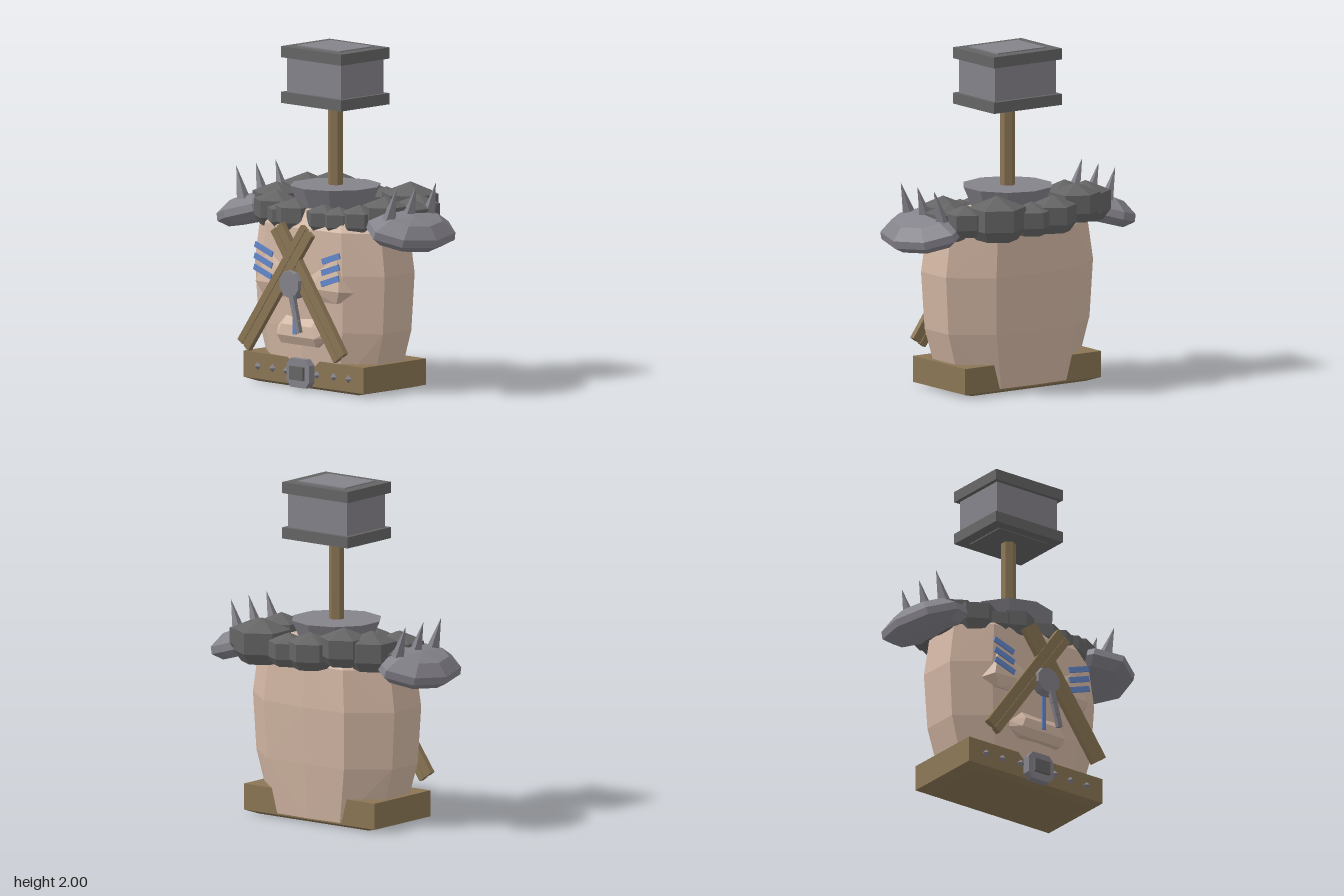
import * as THREE from 'three';
import { ConvexGeometry } from 'three/addons/geometries/ConvexGeometry.js';

const material = (name, color) => {
  const m = new THREE.MeshStandardMaterial({ color, flatShading: true });
  m.name = name;
  return m;
};

export function createModel() {
  const model = new THREE.Group();
  model.name = 'stoneCollaredTorso';
  const skin = material('skin', 0xd2b6a3);
  const wood = material('wood', 0x8b7655);
  const metal = material('metal', 0x85838b);
  const stone = material('dark stone', 0x666565);
  const blue = material('blue paint', 0x6488cc);

  const add = (name, geometry, mat, x = 0, y = 0, z = 0, parent = model) => {
    const mesh = new THREE.Mesh(geometry, mat);
    mesh.name = name;
    mesh.position.set(x, y, z);
    parent.add(mesh);
    return mesh;
  };
  const box = (w, h, d) => new THREE.BoxGeometry(w, h, d);
  const hull = (points) => new ConvexGeometry(points.map((p) => new THREE.Vector3(...p)));
  const lathe = (points, sides) =>
    new THREE.LatheGeometry(points.map(([r, y]) => new THREE.Vector2(r, y)), sides);
  const bothSides = (points) => points.concat(points.map(([x, y, z]) => [-x, y, z]));

  // Barrel-shaped torso: one outline scaled at several heights
  const outline = [[0, 0.315], [0.33, 0.285], [0.53, 0.135], [0.53, -0.115], [0.3, -0.3], [0, -0.31]];
  const rings = [[0.03, 0.78, 0.85], [0.36, 0.96, 0.95], [0.7, 1, 1], [0.95, 0.93, 0.95], [1.06, 0.75, 0.75]];
  const torso = rings.flatMap(([y, sx, sz]) => outline.map(([x, z]) => [x * sx, y, 0.03 + z * sz]));
  add('torso', hull(bothSides(torso)), skin);

  // Chest muscles and belly fold
  for (const s of [1, -1]) {
    add('chestMuscle', hull([
      [0.1, 0.73, 0.32], [0.28, 0.81, 0.31], [0.38, 0.6, 0.27], [0.34, 0.61, 0.355],
      [0.1, 0.61, 0.365], [0.3, 0.535, 0.335], [0.34, 0.55, 0.27], [0.1, 0.535, 0.33], [0.1, 0.6, 0.28],
    ].map(([x, y, z]) => [x * s, y, z])), skin);
  }
  add('bellyFold', hull(bothSides([
    [0.12, 0.43, 0.32], [0.21, 0.36, 0.3], [0.21, 0.32, 0.3], [0.14, 0.26, 0.3],
    [0.14, 0.265, 0.345], [0.15, 0.315, 0.37], [0.12, 0.38, 0.36],
  ])), skin);

  // Wide wooden belt with a bevelled underside, buckle and studs
  add('belt', hull(bothSides([
    [0.49, 0.175, 0.3], [0.49, 0.175, -0.22], [0.49, 0.02, 0.3], [0.49, 0.02, -0.22],
    [0.41, 0, 0.26], [0.41, 0, -0.18],
  ])), wood);
  const plate = new THREE.Shape([[-0.09, 0.05], [-0.09, -0.05], [-0.06, -0.085], [0.06, -0.085],
    [0.09, -0.05], [0.09, 0.05], [0.06, 0.085], [-0.06, 0.085]].map((p) => new THREE.Vector2(...p)));
  add('bucklePlate', new THREE.ExtrudeGeometry(plate, { depth: 0.05, bevelEnabled: false }), metal, 0, 0.097, 0.3);
  add('buckleCentre', box(0.11, 0.08, 0.03), stone, 0, 0.097, 0.352);
  for (const x of [0.125, 0.25, 0.37]) {
    for (const s of [1, -1]) add('beltStud', new THREE.OctahedronGeometry(0.025), metal, s * x, 0.097, x < 0.2 ? 0.318 : 0.305);
  }

  // Crossed planks with a groove down the middle
  for (const s of [1, -1]) {
    const plank = new THREE.Group();
    plank.name = 'crossedPlank';
    plank.position.set(s * -0.133, 0.593, 0.391 + s * 0.002);
    plank.rotation.z = s * -0.618;
    model.add(plank);
    for (const e of [1, -1]) add('plankSlat', box(0.044, 0.89, 0.034), wood, e * 0.031, 0, 0, plank);
    add('plankGroove', box(0.02, 0.885, 0.022), wood, 0, 0, 0, plank);
  }

  // Disc where the planks cross, with a hanging strap
  add('crossDisc', new THREE.CylinderGeometry(0.08, 0.095, 0.05, 10), metal, 0, 0.63, 0.4).rotation.x = Math.PI / 2;
  const strap = new THREE.Group();
  strap.name = 'hangingStrap';
  strap.position.set(0.022, 0.57, 0.42);
  strap.rotation.z = 0.26;
  model.add(strap);
  for (let i = 0; i < 3; i++) add('strapLink', box(0.036 - i * 0.002, 0.074, 0.026), metal, 0, -0.038 - i * 0.076, 0, strap);

  // Painted stripes
  add('centreStripe', box(0.028, 0.22, 0.009), blue, 0, 0.44, 0.375);
  for (const s of [1, -1]) {
    for (let i = 0; i < 3; i++) {
      const stripe = add('chestStripe', box(0.15, 0.034, 0.009), blue, s * 0.274, 0.802 - i * 0.066, 0.353 + i * 0.004);
      stripe.rotation.z = s * 0.33;
    }
  }

  // Ring of rocks around the shoulders: x, y, z, radius
  const rockProfile = [[0, -0.82], [0.72, -0.74], [1, -0.35], [1, 0.4], [0, 0.8]];
  const rocks = [
    [0.305, 1.06, -0.28, 0.17], [0.08, 1.04, -0.31, 0.125], [-0.08, 1.05, -0.305, 0.14],
    [-0.285, 1.09, -0.25, 0.145], [-0.42, 1.07, -0.16, 0.15], [-0.51, 1.02, -0.08, 0.11],
    [-0.44, 1.04, 0.075, 0.145], [-0.35, 1.02, 0.17, 0.135], [-0.12, 1.015, 0.245, 0.12],
    [0.1, 1.01, 0.235, 0.105], [0.33, 1.02, 0.17, 0.11], [0.44, 1.05, 0.07, 0.135],
    [0.5, 1.03, -0.07, 0.14], [0.47, 1.05, -0.19, 0.12], [-0.23, 1.0, 0.23, 0.1], [0.21, 1.01, 0.22, 0.1],
  ];
  for (const [x, y, z, r] of rocks) {
    add('collarRock', lathe(rockProfile, 6), stone, x, y, z).scale.set(r, r, r);
  }

  // Tilted shoulder pads, each with a row of three spikes
  const padProfile = [[0, -0.075], [0.24, -0.07], [0.31, -0.025], [0.305, 0.02], [0.2, 0.08], [0, 0.1]];
  for (const s of [1, -1]) {
    const pad = new THREE.Group();
    pad.name = 'shoulderPad';
    pad.position.set(s * 0.615, 0.975, 0.03);
    pad.rotation.z = s * -0.29;
    model.add(pad);
    add('padShell', lathe(padProfile, 8), metal, 0, 0, 0, pad).scale.x = 0.7;
    for (const z of [-0.165, 0, 0.165]) {
      const spike = add('padSpike', new THREE.ConeGeometry(0.042, 0.2, 5), metal, s * -0.038, 0.165, z, pad);
      spike.rotation.y = s * Math.PI / 2;
    }
  }

  // Neck plug that carries the hammer
  add('neckPlug', new THREE.CylinderGeometry(0.27, 0.2, 0.16, 10), metal, 0, 1.1, 0.035);
  add('hammerHandle', new THREE.CylinderGeometry(0.045, 0.045, 0.52, 6), wood, 0, 1.41, 0.035);
  add('hammerHead', box(0.44, 0.26, 0.355), metal, 0, 1.825, 0.035);
  for (const [y, e] of [[1.69, -1], [1.96, 1]]) {
    add('hammerFlange', box(0.49, 0.066, 0.405), stone, 0, y, 0.035);
    add('hammerFacePlate', box(0.35, 0.008, 0.28), e > 0 ? metal : stone, 0, y + e * 0.036, 0.035);
  }
  return model;
}
